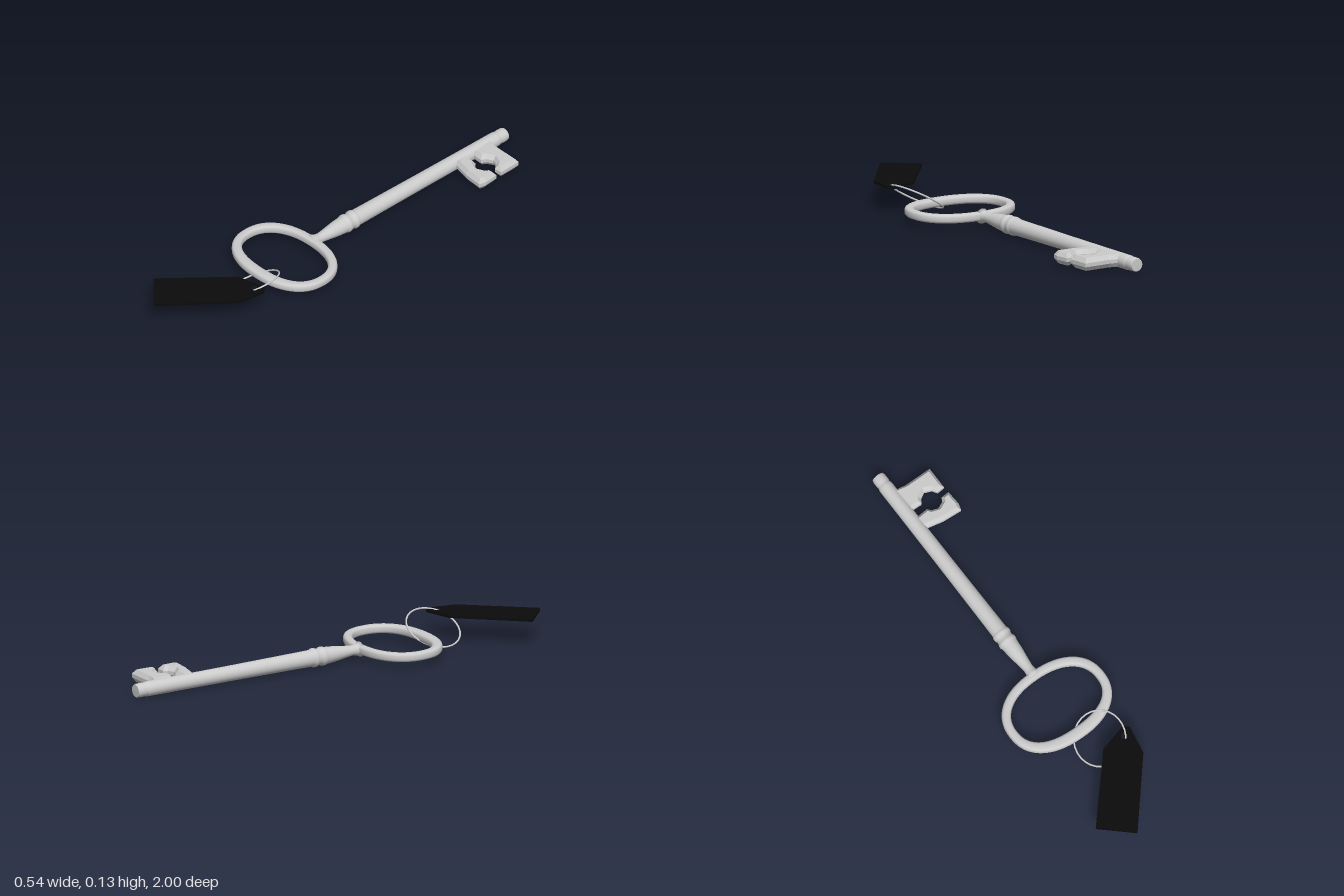
import * as THREE from 'three';
import { mergeVertices } from 'three/addons/utils/BufferGeometryUtils.js';

const metal = new THREE.MeshStandardMaterial({ color: 0xcccccc });
const black = new THREE.MeshStandardMaterial({ color: 0x0b0b0b });

function part(name, geometry, material = metal) {
  const mesh = new THREE.Mesh(geometry, material);
  mesh.name = name;
  return mesh;
}

// Flat plate outlined in x and z, centred vertically on y = 0
function plate(points, hole, thickness, bevel) {
  const shape = new THREE.Shape(points.map(([x, z]) => new THREE.Vector2(x, z)));
  if (hole) shape.holes.push(new THREE.Path().absarc(hole[0], hole[1], hole[2], 0, Math.PI * 2, true));
  const rise = bevel * 1.4;
  const geometry = new THREE.ExtrudeGeometry(shape, {
    depth: thickness - 2 * rise, bevelEnabled: bevel > 0, bevelSegments: 1,
    bevelSize: bevel, bevelOffset: -bevel, bevelThickness: rise, curveSegments: 10,
  });
  geometry.translate(0, 0, rise - thickness / 2);
  return geometry.rotateX(Math.PI / 2);
}

const power = (v, e) => Math.sign(v) * Math.abs(v) ** e;

// Oval handle with a rounded-square section, thicker at its outer end
function bowGeometry() {
  const torus = new THREE.TorusGeometry(1, 0.1, 20, 64);
  const { position, uv } = torus.attributes;
  for (let i = 0; i < position.count; i++) {
    const u = uv.getX(i) * Math.PI * 2, v = uv.getY(i) * Math.PI * 2;
    const cx = power(Math.cos(u), 0.88), cz = power(Math.sin(u), 0.88);
    const half = 0.02 + 0.007 * Math.max(0, cz) ** 3;
    const w = half * (power(Math.cos(v), 0.7) - 1);
    position.setXYZ(i, cx * (0.252 + w), cz * (0.186 + w), 0.02 * power(Math.sin(v), 0.7));
  }
  torus.deleteAttribute('uv');
  torus.deleteAttribute('normal');
  const geometry = mergeVertices(torus, 1e-5);
  geometry.computeVertexNormals();
  return geometry.rotateX(Math.PI / 2);
}

export function createModel() {
  const model = new THREE.Group();
  model.name = 'keyWithTag';

  // Key shank and bow share a slightly turned axis
  const key = new THREE.Group();
  key.name = 'key';
  key.position.set(0.006, 0.048, 0);
  key.rotation.set(-0.013, -0.07, 0);
  model.add(key);

  // Shank: radius against distance towards the tip
  const profile = [
    [0, -0.15], [0.034, -0.142], [0.026, -0.125], [0.022, -0.1], [0.027, -0.06], [0.034, -0.01],
    [0.037, 0.025], [0.038, 0.038], [0.041, 0.044], [0.042, 0.052], [0.041, 0.06], [0.037, 0.066],
    [0.037, 0.08], [0.041, 0.086], [0.042, 0.094], [0.041, 0.102], [0.037, 0.108],
    [0.036, 0.2], [0.034, 0.5], [0.033, 0.8], [0.033, 0.935], [0.032, 0.946], [0.029, 0.952],
    [0.031, 0.96], [0.031, 0.988], [0.028, 0.997], [0.028, 0.9975], [0, 0.998],
  ].map(([r, s]) => new THREE.Vector2(r, s));
  key.add(part('shank', new THREE.LatheGeometry(profile, 28).rotateX(-Math.PI / 2)));

  const bow = part('bow', bowGeometry());
  bow.position.set(-0.001, 0.001, 0.309);
  key.add(bow);

  // Two bevelled bits with a shared round notch between them
  const rearBit = [
    [0.08, -0.9], [0.14, -0.885], [0.267, -0.876], [0.26, -0.771], [0.224, -0.771],
    [0.21, -0.795], [0.18, -0.81], [0.15, -0.795], [0.138, -0.776], [0.08, -0.782],
  ];
  const frontBit = [
    [0.07, -0.742], [0.138, -0.742], [0.15, -0.725], [0.18, -0.713], [0.21, -0.725],
    [0.222, -0.742], [0.26, -0.742], [0.26, -0.675], [0.249, -0.644], [0.16, -0.656], [0.07, -0.682],
  ];
  for (const [name, outline] of [['rearBit', rearBit], ['frontBit', frontBit]]) {
    const bit = part(name, plate(outline, null, 0.056, 0.014));
    bit.position.y = 0.04;
    model.add(bit);
  }

  // Split ring, tilted through the bow and the tag hole
  const ring = part('ring', new THREE.TorusGeometry(0.122, 0.004, 8, 28).rotateX(Math.PI / 2));
  ring.position.set(0.021, 0.071, 0.55);
  ring.rotation.z = Math.PI / 6;
  model.add(ring);

  // Tag with clipped corners and a hole
  const tag = part('tag', plate([
    [-0.271, 0.868], [-0.146, 0.999], [0.111, 0.735], [0.142, 0.608], [0.122, 0.585], [-0.011, 0.612],
  ], [0.097, 0.624, 0.015], 0.012, 0), black);
  tag.position.y = 0.117;
  model.add(tag);

  return model;
}
